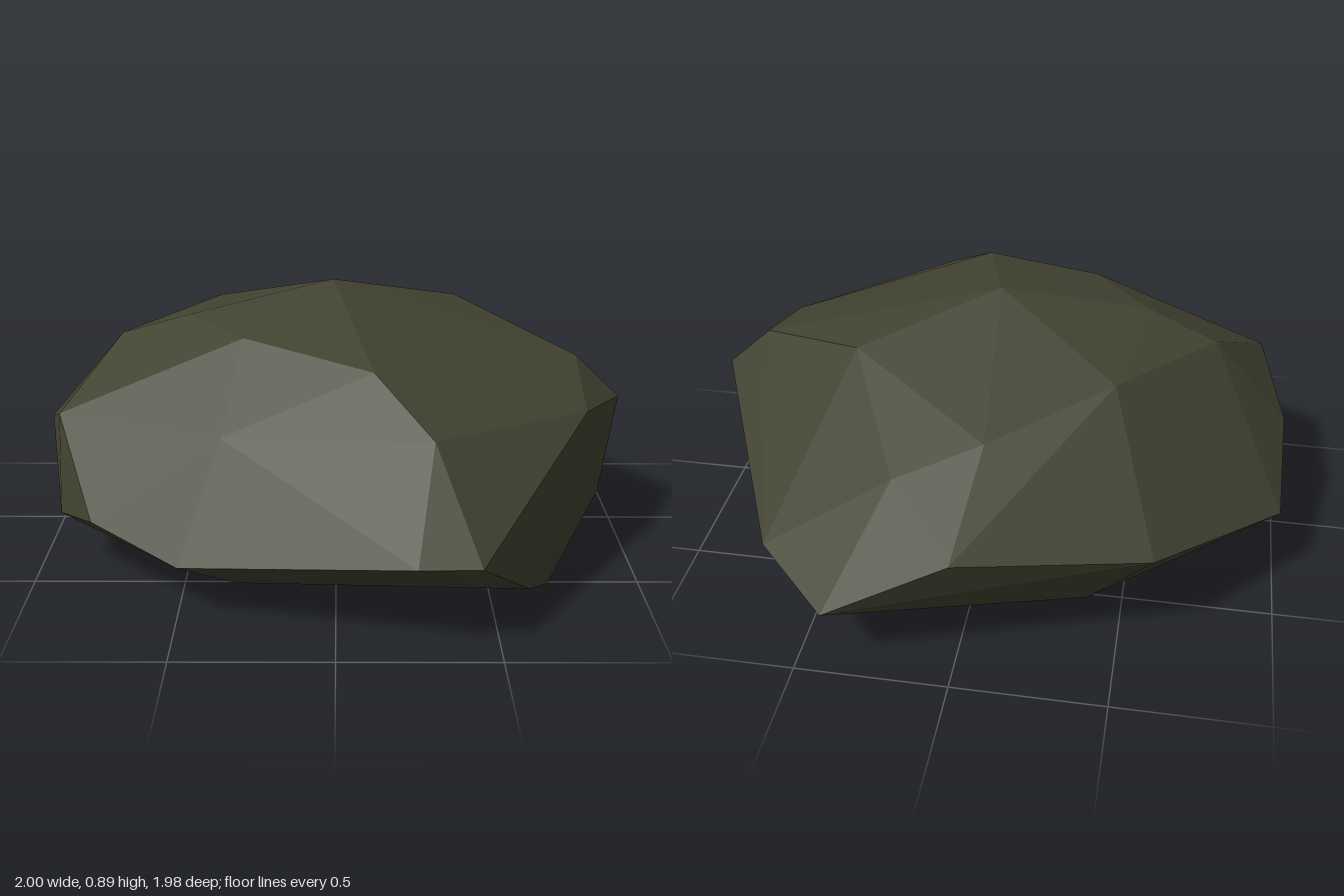
import * as THREE from 'three';
import { ConvexGeometry } from 'three/addons/geometries/ConvexGeometry.js';

// Corner rings of the boulder, from the ground up: [x, y, z]
const base = [
  [0.7, 0, 0.51], [0.7, 0, 0.13], [0.41, 0, -0.5], [-0.38, 0, -0.52],
  [-0.84, 0, -0.06], [-0.33, 0, 0.51],
];
const lower = [
  [0.6, 0.12, 0.77], [0.93, 0.15, 0.1], [0.97, 0.32, -0.02], [0.3, 0.085, -0.74],
  [-0.92, 0.2, 0.39], [-0.49, 0.19, 0.77],
];
const girth = [
  [0.43, 0.295, 0.98], [0.24, 0.295, 0.985], [-0.78, 0.265, 0.6], [-1, 0.42, 0.05],
  [-1, 0.27, -0.3], [-0.6, 0.37, -0.74], [0, 0.445, -0.95], [0.4, 0.23, -0.99],
  [0.65, 0.29, -0.76], [1, 0.48, 0.01],
];
const shoulder = [
  [0.83, 0.54, 0.33], [0.84, 0.63, 0], [0.3, 0.59, 0.72], [-0.36, 0.55, 0.59],
  [-0.91, 0.54, 0.35], [-0.74, 0.72, 0.03], [0.22, 0.58, -0.73], [-0.05, 0.66, -0.61],
];
const crown = [
  [0.12, 0.74, 0.52], [-0.3, 0.79, 0.32], [-0.5, 0.8, 0.08], [-0.43, 0.75, -0.35],
  [0.43, 0.77, -0.29], [-0.01, 0.895, -0.03],
];

export function createModel() {
  const group = new THREE.Group();
  group.name = 'rock';

  const stone = new THREE.MeshStandardMaterial({ color: 0x434332 });
  stone.name = 'dark olive stone';
  stone.flatShading = true;

  // Faceted boulder wrapped around its corners
  const corners = [base, lower, girth, shoulder, crown].flat()
    .map(([x, y, z]) => new THREE.Vector3(x, y, z));
  const boulder = new THREE.Mesh(new ConvexGeometry(corners), stone);
  boulder.name = 'boulder';
  group.add(boulder);

  return group;
}
